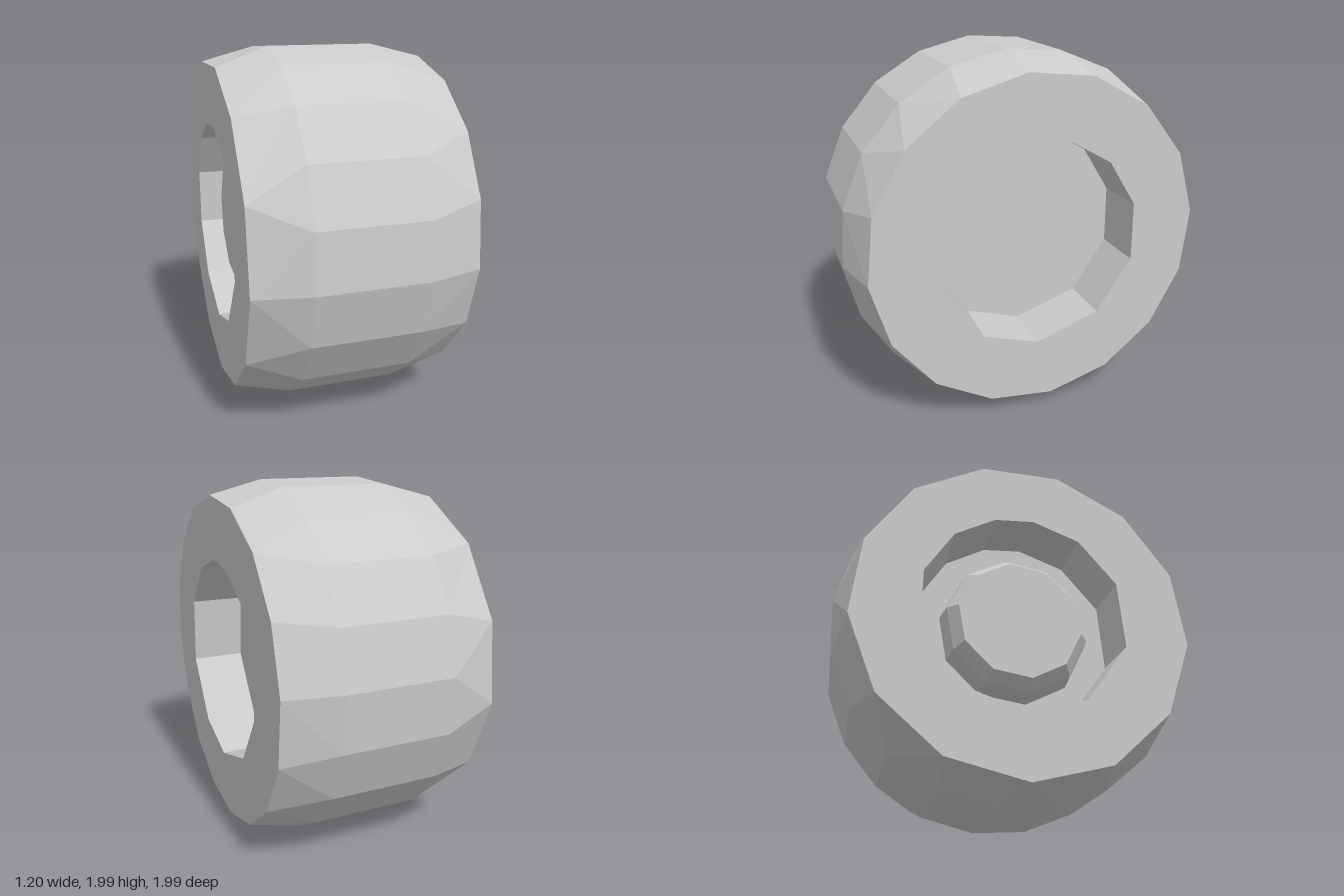
import * as THREE from 'three';

const material = new THREE.MeshStandardMaterial({ color: 0xcccccc, flatShading: true });

// Ring around the x axis; angles in degrees run from +z towards +y
function ring(x, r, angles) {
  const pts = angles.map((a) => {
    const t = THREE.MathUtils.degToRad(a);
    return [x, 1 + r * Math.sin(t), r * Math.cos(t)];
  });
  return { angles, pts };
}

const even = (n, phase) => Array.from({ length: n }, (_, i) => phase + (i * 360) / n);

// Stitch two rings with any number of corners, always advancing the one that lags
function stitch(a, b, out) {
  const n = a.pts.length, m = b.pts.length;
  const angle = (r, i) => r.angles[i % r.angles.length] + 360 * Math.floor(i / r.angles.length);
  let i = 0, j = 0;
  while (i < n || j < m) {
    const p = a.pts[i % n], q = b.pts[j % m];
    const stepA = j >= m || (i < n && angle(a, i + 1) <= angle(b, j + 1));
    if (stepA) {
      i++;
      if (n > 1) out.push(...p, ...a.pts[i % n], ...q);
    } else {
      j++;
      if (m > 1) out.push(...p, ...b.pts[j % m], ...q);
    }
  }
}

// Skin a list of rings ordered along the profile
function skin(name, rings) {
  const out = [];
  for (let k = 0; k + 1 < rings.length; k++) stitch(rings[k], rings[k + 1], out);
  const geometry = new THREE.BufferGeometry();
  geometry.setAttribute('position', new THREE.Float32BufferAttribute(out, 3));
  geometry.computeVertexNormals();
  const mesh = new THREE.Mesh(geometry, material);
  mesh.name = name;
  return mesh;
}

export function createModel() {
  const group = new THREE.Group();
  group.name = 'wheel';

  const holeAngles = [-15, 24, 57, 85, 107, 133, 163, 196, 232, 271, 304];
  const treadAngles = even(20, -5);
  const leftRim = ring(0.6, 0.575, holeAngles);
  const rightRim = ring(-0.6, 0.575, holeAngles);
  const leftFloor = ring(0.3, 0.57, holeAngles);
  const rightFloor = ring(-0.3, 0.57, holeAngles);
  const hubAngles = even(10, -8);
  const hubBase = ring(-0.3, 0.42, hubAngles);

  // Bulging tyre with flat side walls
  group.add(skin('tyre', [
    leftRim,
    ring(0.6, 0.925, even(16, -5)),
    ring(0.3, 1, treadAngles),
    ring(-0.3, 1, treadAngles),
    ring(-0.6, 0.925, even(13, -6)),
    rightRim,
  ]));

  // Plain recess on the left side
  group.add(skin('leftRecess', [ring(0.3, 0, [0]), leftFloor, leftRim]));

  // Recess on the right side, with a hub rising from its floor
  group.add(skin('rightRecess', [rightRim, rightFloor, hubBase]));
  group.add(skin('hub', [
    hubBase,
    ring(-0.43, 0.4, hubAngles),
    ring(-0.5, 0.345, hubAngles),
    ring(-0.5, 0, [0]),
  ]));

  return group;
}
